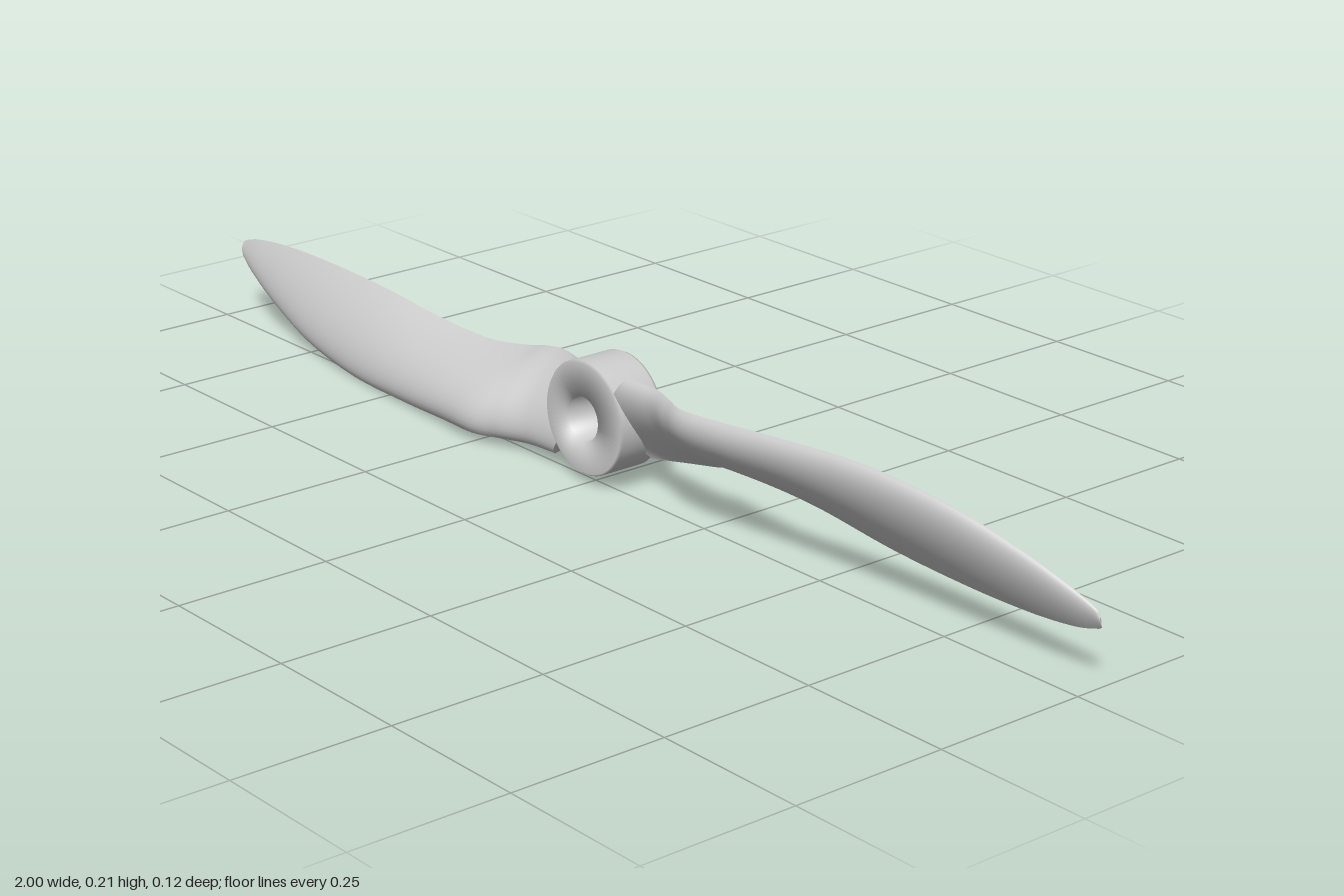
import * as THREE from 'three';

const HUB_Y = 0.109;

// Stations along the blade: x, leading edge y z, trailing edge y z, front bulge
const STATIONS = [
  [0.085, 0.194, 0.010, 0.054, -0.040, 0.024],
  [0.15, 0.197, 0.012, 0.060, -0.062, 0.030],
  [0.20, 0.199, 0.028, 0.068, -0.068, 0.035],
  [0.25, 0.200, 0.045, 0.080, -0.067, 0.035],
  [0.33, 0.203, 0.040, 0.088, -0.053, 0.033],
  [0.45, 0.210, 0.029, 0.084, -0.048, 0.029],
  [0.60, 0.214, 0.015, 0.071, -0.045, 0.025],
  [0.75, 0.198, 0.000, 0.066, -0.043, 0.020],
  [0.87, 0.167, -0.016, 0.068, -0.042, 0.014],
  [0.95, 0.138, -0.028, 0.076, -0.041, 0.009],
  [0.99, 0.119, -0.035, 0.086, -0.041, 0.005],
  [1.00, 0.108, -0.037, 0.091, -0.040, 0.003],
];

function curve(pick) {
  const points = STATIONS.map((s) => new THREE.Vector3(...pick(s)));
  return new THREE.CatmullRomCurve3(points, false, 'catmullrom', 0.5);
}

// Lofts airfoil sections between the leading and trailing edge curves
function bladeGeometry(rings = 88, half = 20) {
  const lead = curve((s) => [s[0], s[1], s[2]]);
  const trail = curve((s) => [s[0], s[3], s[4]]);
  const bulge = curve((s) => [s[0], s[5], 0]);
  const count = half * 2 + 1;
  const positions = [];
  const index = [];

  for (let r = 0; r <= rings; r++) {
    const u = r / rings;
    const le = lead.getPoint(u);
    const te = trail.getPoint(u);
    const h = bulge.getPoint(u).y;
    const cy = le.y - te.y;
    const cz = le.z - te.z;
    const length = Math.hypot(cy, cz);
    // The back is rounded at the root and slightly hollow further out
    const back = THREE.MathUtils.mapLinear(
      THREE.MathUtils.clamp(le.x, 0.085, 0.25), 0.085, 0.25, -0.6, 0.12);

    for (let i = 0; i < count; i++) {
      // Trailing edge, over the front to the leading edge, and back behind
      const t = (1 + Math.cos((i / half) * Math.PI)) / 2;
      const offset = i <= half
        ? h * 2.6 * Math.sqrt(t) * (1 - t)
        : h * back * Math.sin(Math.PI * t);
      // The root end curves around the hub
      const rootPull = Math.max(0, 1 - (le.x - 0.085) / 0.06);
      const x = le.x - 0.035 * rootPull * (1 - (2 * t - 1) ** 2);
      positions.push(
        x,
        te.y + cy * (1 - t) - (offset * cz) / length - HUB_Y,
        te.z + cz * (1 - t) + (offset * cy) / length);
    }
  }

  for (let r = 0; r < rings; r++) {
    for (let i = 0; i < count - 1; i++) {
      const a = r * count + i;
      const b = a + count;
      index.push(a, b, a + 1, a + 1, b, b + 1);
    }
  }

  // Flat strips close the root and the tip, each with its own vertices
  for (const [ring, tip] of [[0, false], [rings, true]]) {
    const base = positions.length / 3;
    const start = ring * count * 3;
    positions.push(...positions.slice(start, start + count * 3));
    for (let i = 0; i < half; i++) {
      const a = base + i;
      const b = base + count - 1 - i;
      if (tip) index.push(a, b, a + 1, a + 1, b, b - 1);
      else index.push(a, a + 1, b, a + 1, b - 1, b);
    }
  }

  const geometry = new THREE.BufferGeometry();
  geometry.setAttribute('position', new THREE.Float32BufferAttribute(positions, 3));
  geometry.setIndex(index);
  geometry.computeVertexNormals();
  return geometry;
}

// Ring with a shaft hole and softened outer rims; each segment keeps its own normals
function hubGeometry() {
  const outline = [
    [0.035, -0.061], [0.082, -0.061], [0.0875, -0.0585], [0.09, -0.053],
    [0.09, 0.021], [0.087, 0.025], [0.035, 0.025], [0.035, -0.061],
  ].map(([r, z]) => new THREE.Vector2(r, z));
  return new THREE.LatheGeometry(outline, 64).rotateX(Math.PI / 2);
}

export function createModel() {
  const model = new THREE.Group();
  model.name = 'propeller';
  const material = new THREE.MeshStandardMaterial({
    color: 0xcccccc, side: THREE.DoubleSide,
  });

  const hub = new THREE.Mesh(hubGeometry(), material);
  hub.name = 'hub';
  hub.position.y = HUB_Y;
  model.add(hub);

  // Two identical blades, half a turn apart
  const blade = bladeGeometry();
  ['leftBlade', 'rightBlade'].forEach((name, i) => {
    const mesh = new THREE.Mesh(blade, material);
    mesh.name = name;
    mesh.position.y = HUB_Y;
    mesh.rotation.z = i * Math.PI;
    model.add(mesh);
  });

  return model;
}
